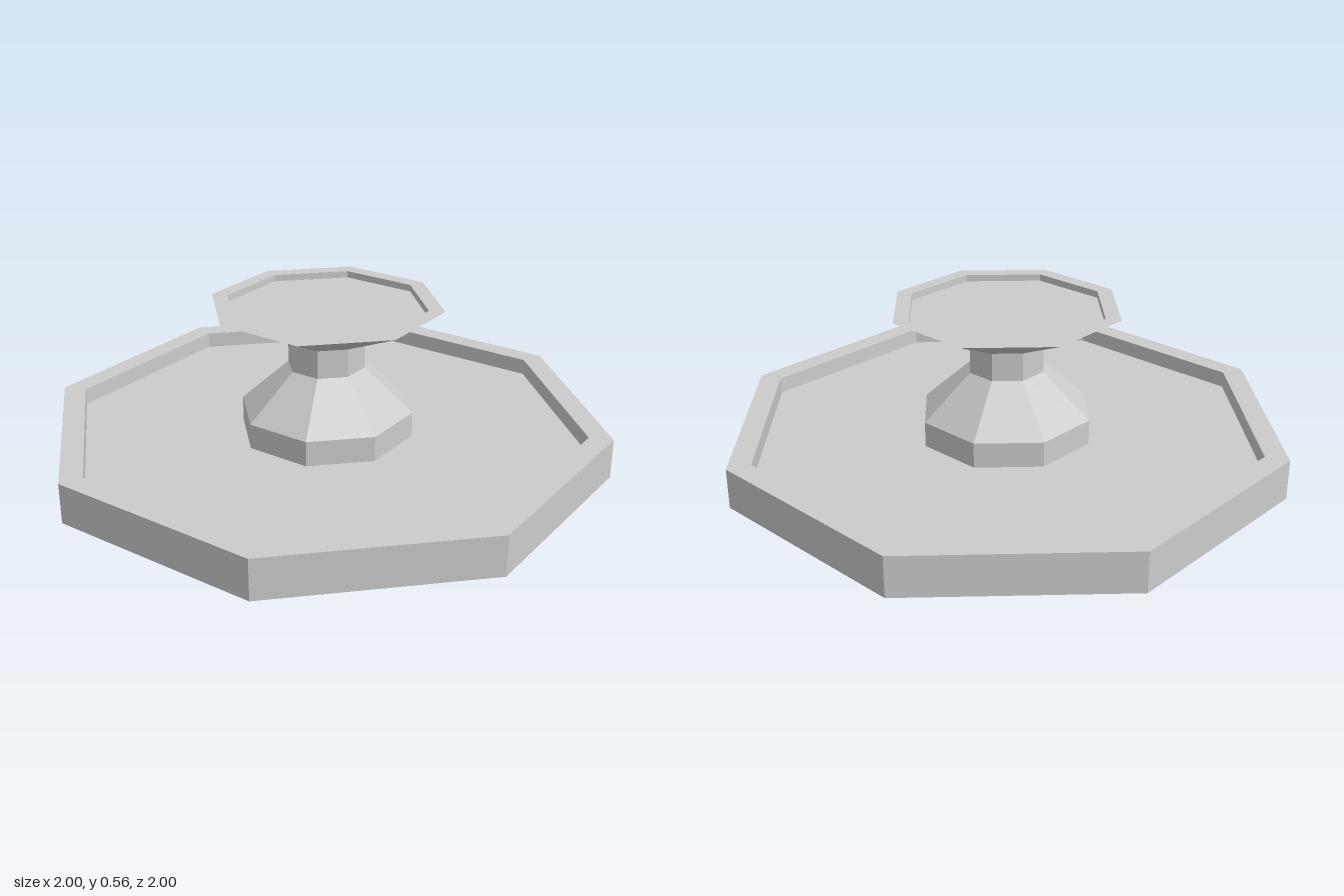
import * as THREE from 'three';

const material = new THREE.MeshStandardMaterial({ color: 0xcccccc, flatShading: true });

// Eight-sided turned part from a [radius, height] profile, corners on the axes
function octagonal(name, profile) {
  const points = profile.map(([r, y]) => new THREE.Vector2(r, y));
  const mesh = new THREE.Mesh(new THREE.LatheGeometry(points, 8), material);
  mesh.name = name;
  return mesh;
}

export function createModel() {
  const group = new THREE.Group();
  group.name = 'fountain';

  // Wide basin with a flat rim and a recessed floor
  group.add(octagonal('basin', [
    [0, 0], [1, 0], [1, 0.142], [0.917, 0.142], [0.917, 0.083], [0, 0.083],
  ]));

  // Pedestal: plinth, sloping shoulder and narrow neck
  group.add(octagonal('pedestal', [
    [0.308, 0.083], [0.308, 0.173], [0.137, 0.33], [0.137, 0.431],
  ]));

  // Flared upper bowl with a shallow recess
  group.add(octagonal('upperBowl', [
    [0.137, 0.431], [0.41, 0.556], [0.354, 0.556], [0.354, 0.532], [0, 0.532],
  ]));

  return group;
}
